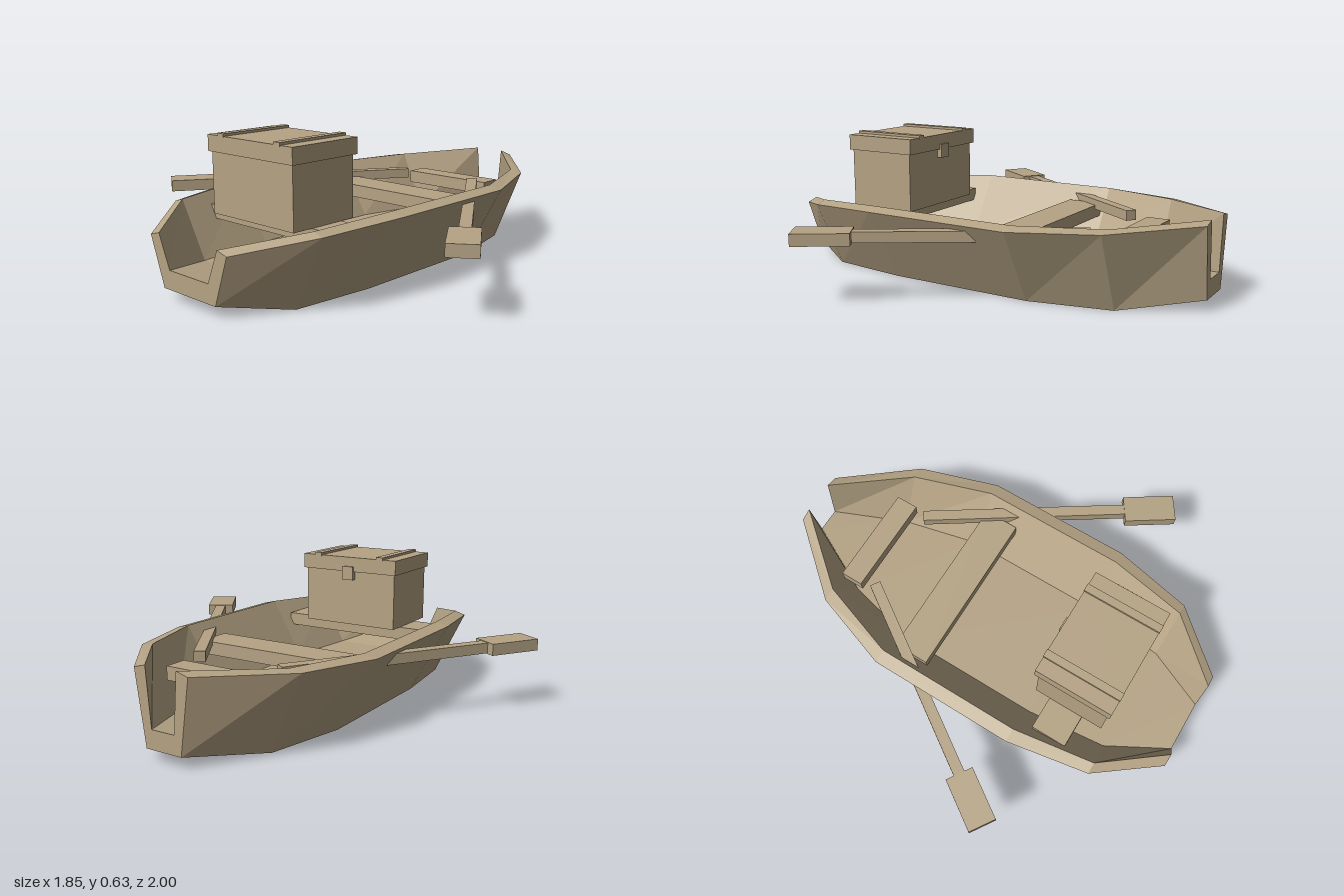
import * as THREE from 'three';

export function createModel() {
  const model = new THREE.Group();
  const wood = new THREE.MeshStandardMaterial({ color: 0xb5a384 });
  wood.name = 'wood';

  const box = (parent, name, [x0, x1], [y0, y1], [z0, z1]) => {
    const mesh = new THREE.Mesh(new THREE.BoxGeometry(x1 - x0, y1 - y0, z1 - z0), wood);
    mesh.position.set((x0 + x1) / 2, (y0 + y1) / 2, (z0 + z1) / 2);
    mesh.name = name;
    parent.add(mesh);
    return mesh;
  };

  // Hull: U-shaped sections with open ends, lofted from bow to stern
  // z, outer rim x/y, outer bottom x/y, inner rim x/y, inner floor x/y
  const stations = [
    [1.0, 0.235, 0.255, 0.16, 0.05, 0.18, 0.27, 0.12, 0.13],
    [0.73, 0.45, 0.31, 0.30, 0, 0.40, 0.325, 0.26, 0.08],
    [0.36, 0.52, 0.33, 0.34, 0, 0.46, 0.345, 0.30, 0.08],
    [-0.32, 0.52, 0.33, 0.34, 0, 0.46, 0.345, 0.30, 0.08],
    [-0.68, 0.40, 0.34, 0.26, 0, 0.34, 0.35, 0.215, 0.08],
    [-1.0, 0.13, 0.36, 0.085, 0.05, 0.075, 0.375, 0.055, 0.13],
  ];
  const rings = stations.map(([z, ox, oy, bx, by, ix, iy, fx, fy]) => [
    [-ox, oy, z], [-bx, by, z], [bx, by, z], [ox, oy, z],
    [ix, iy, z], [fx, fy, z], [-fx, fy, z], [-ix, iy, z],
  ]);
  const points = [];
  const quad = (a, b, c, d) => points.push(...a, ...b, ...c, ...a, ...c, ...d);
  for (let i = 0; i < rings.length - 1; i++) {
    for (let j = 0; j < 8; j++) {
      const k = (j + 1) % 8;
      quad(rings[i][j], rings[i + 1][j], rings[i + 1][k], rings[i][k]);
    }
  }
  const bow = rings[0], stern = rings[rings.length - 1];
  for (const [a, b, c, d] of [[0, 1, 6, 7], [1, 2, 5, 6], [2, 3, 4, 5]]) {
    quad(bow[a], bow[b], bow[c], bow[d]);
    quad(stern[d], stern[c], stern[b], stern[a]);
  }
  const hullGeometry = new THREE.BufferGeometry();
  hullGeometry.setAttribute('position', new THREE.Float32BufferAttribute(points, 3));
  hullGeometry.computeVertexNormals();
  const hull = new THREE.Mesh(hullGeometry, wood);
  hull.name = 'hull';
  model.add(hull);

  // Bench planks across the hull
  box(model, 'frontBench', [-0.395, 0.395], [0.22, 0.28], [0.42, 0.585]);
  box(model, 'middleBench', [-0.395, 0.395], [0.22, 0.28], [-0.305, -0.14]);
  box(model, 'sternBench', [-0.235, 0.235], [0.22, 0.28], [-0.715, -0.61]);

  // Chest standing on the front bench
  const chest = new THREE.Group();
  chest.name = 'chest';
  box(chest, 'chestBody', [-0.243, 0.243], [0.28, 0.545], [0.35, 0.682]);
  box(chest, 'chestLid', [-0.255, 0.255], [0.545, 0.615], [0.335, 0.693]);
  for (const s of [-1, 1]) {
    box(chest, 'lidStrap', [s * 0.17 - 0.018, s * 0.17 + 0.018], [0.61, 0.626], [0.333, 0.695]);
  }
  box(chest, 'chestLatch', [-0.03, 0.03], [0.505, 0.57], [0.325, 0.352]);
  model.add(chest);

  // Oars pass through the hull sides, mirrored left and right
  for (const s of [1, -1]) {
    const oar = new THREE.Group();
    oar.name = s > 0 ? 'leftOar' : 'rightOar';
    box(oar, 'oarShaft', [-0.025, 0.025], [0.262, 0.308], [0, 0.98]);
    box(oar, 'oarBlade', [-0.063, 0.063], [0.259, 0.311], [0.965, 1.205]);
    oar.position.set(s * 0.205, 0, -0.545);
    oar.rotation.y = s * Math.atan2(0.553, 0.833);
    model.add(oar);
  }
  return model;
}
